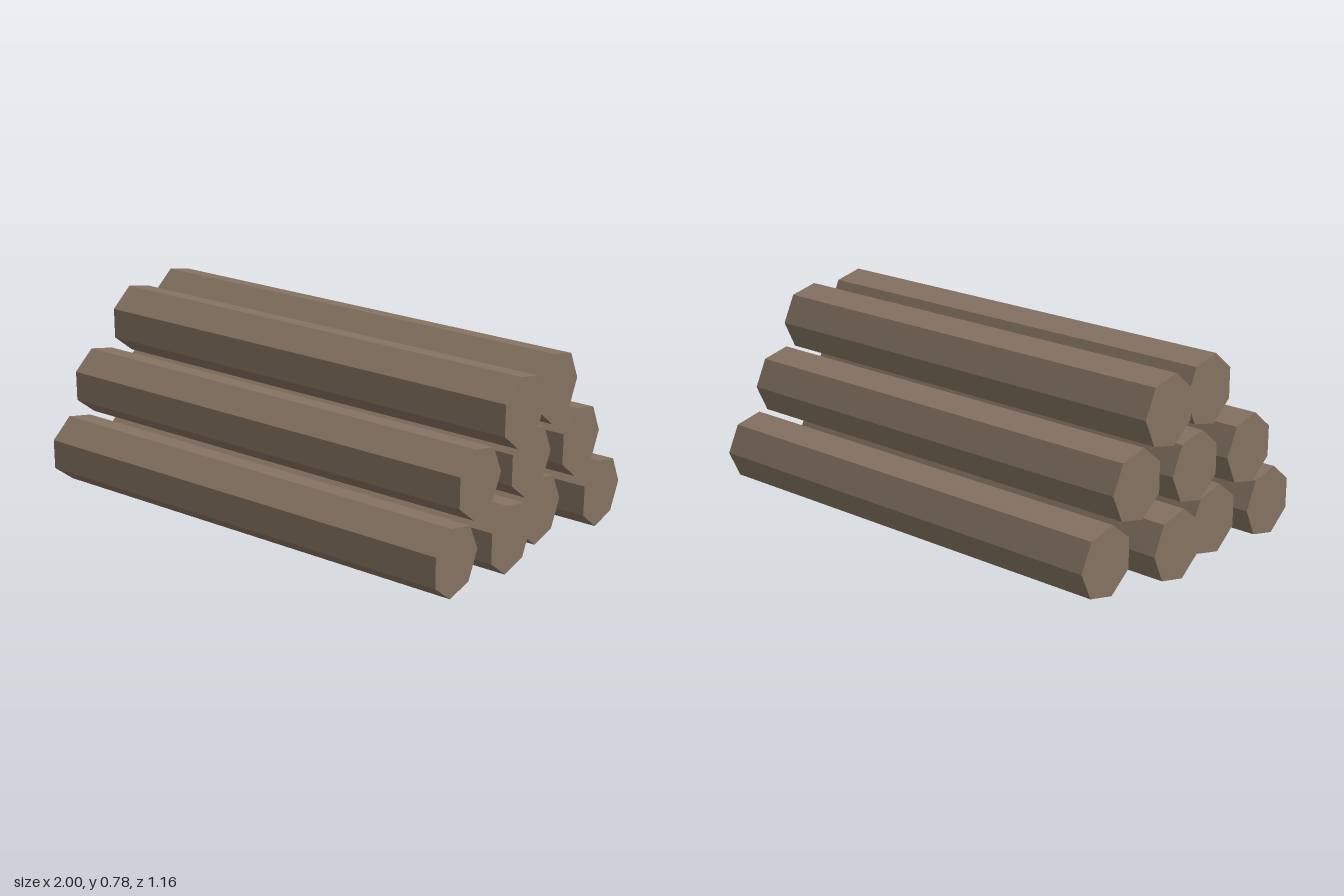
import * as THREE from 'three';

export function createModel() {
  const group = new THREE.Group();
  group.name = 'logPile';

  const bark = new THREE.MeshStandardMaterial({ color: 0x857362, flatShading: true });
  bark.name = 'brown wood';

  // One seven-sided log lying along x, with a ridge pointing to the back
  const log = new THREE.CylinderGeometry(0.142, 0.142, 1.905, 7, 1, false, Math.PI);
  log.rotateZ(Math.PI / 2);

  // Stacked rows, front to back; shifts slide each log along x
  const rows = [
    { name: 'bottomLog', y: 0.14, z: 0.455, shifts: [-0.037, 0.007, -0.047, 0.047] },
    { name: 'middleLog', y: 0.397, z: 0.307, shifts: [-0.039, -0.008, 0.03] },
    { name: 'topLog', y: 0.648, z: 0.157, shifts: [0.047, 0.007] },
  ];
  const spacing = 0.298;

  for (const row of rows) {
    row.shifts.forEach((x, i) => {
      const mesh = new THREE.Mesh(log, bark);
      mesh.name = `${row.name}${i + 1}`;
      mesh.position.set(x, row.y, row.z - i * spacing);
      group.add(mesh);
    });
  }
  return group;
}
